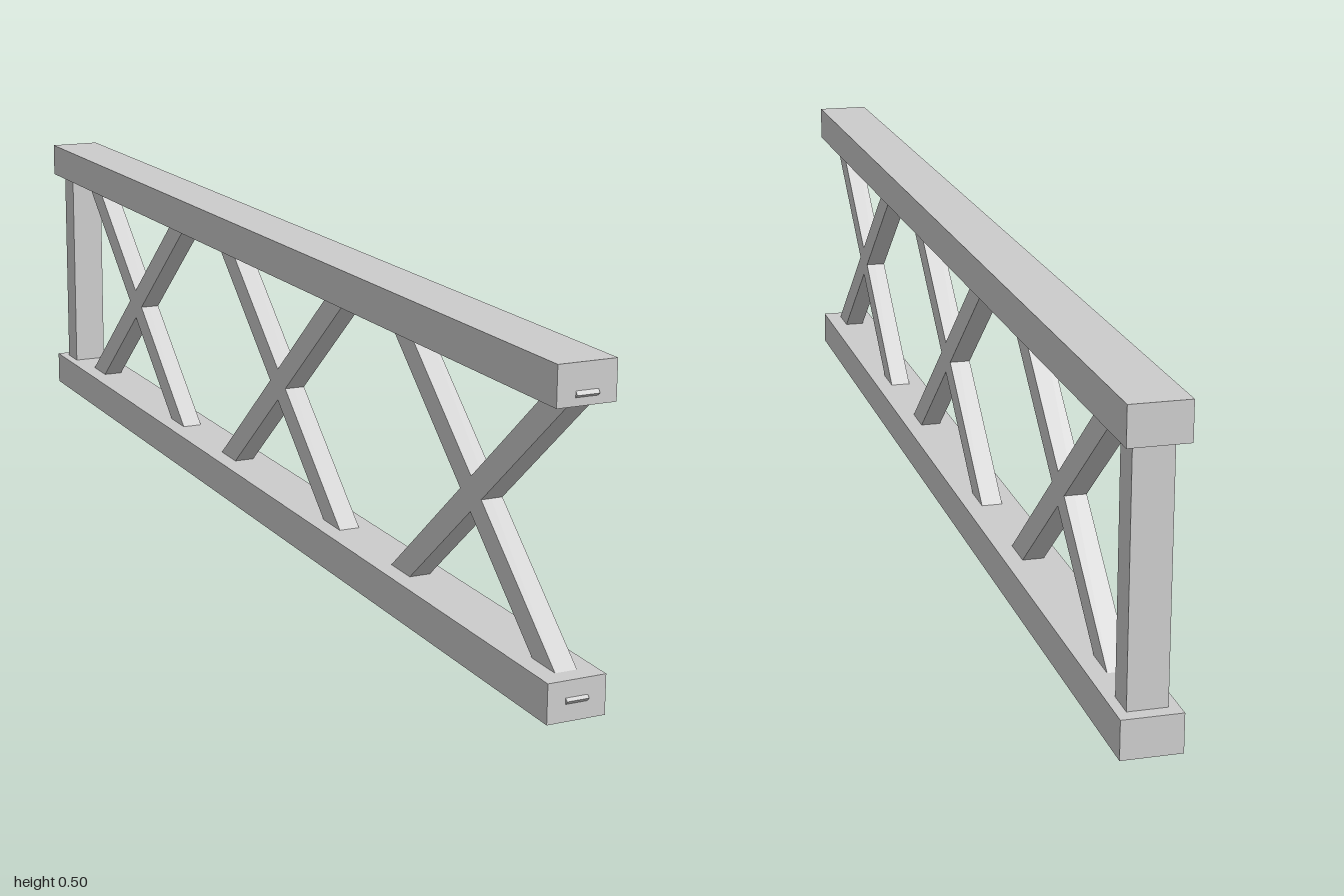
import * as THREE from 'three';

export function createModel() {
  const model = new THREE.Group();
  const material = new THREE.MeshStandardMaterial({ color: 0xcccccc, flatShading: true });

  function beam(name, size, position, tilt = 0) {
    const mesh = new THREE.Mesh(new THREE.BoxGeometry(...size), material);
    mesh.name = name;
    mesh.position.set(...position);
    mesh.rotation.x = tilt;
    model.add(mesh);
  }

  // Long horizontal rails
  beam('bottomRail', [0.09, 0.059, 1.995], [0, 0.0295, -0.0025]);
  beam('topRail', [0.09, 0.059, 1.995], [0, 0.4655, -0.0025]);

  // Upright closing the back end, its ends seated in the rails
  beam('endPost', [0.059, 0.4, 0.048], [0, 0.2475, -0.954]);

  // Three pairs of crossed braces, ends buried in the rails
  const angle = THREE.MathUtils.degToRad(40.6);
  for (let i = 0; i < 3; i++) {
    const z = 0.723 - i * 0.668;
    beam('risingBrace' + (i + 1), [0.034, 0.04, 0.694], [0, 0.241, z], -angle);
    beam('fallingBrace' + (i + 1), [0.034, 0.04, 0.694], [0, 0.241, z], angle);
  }

  return model;
}
